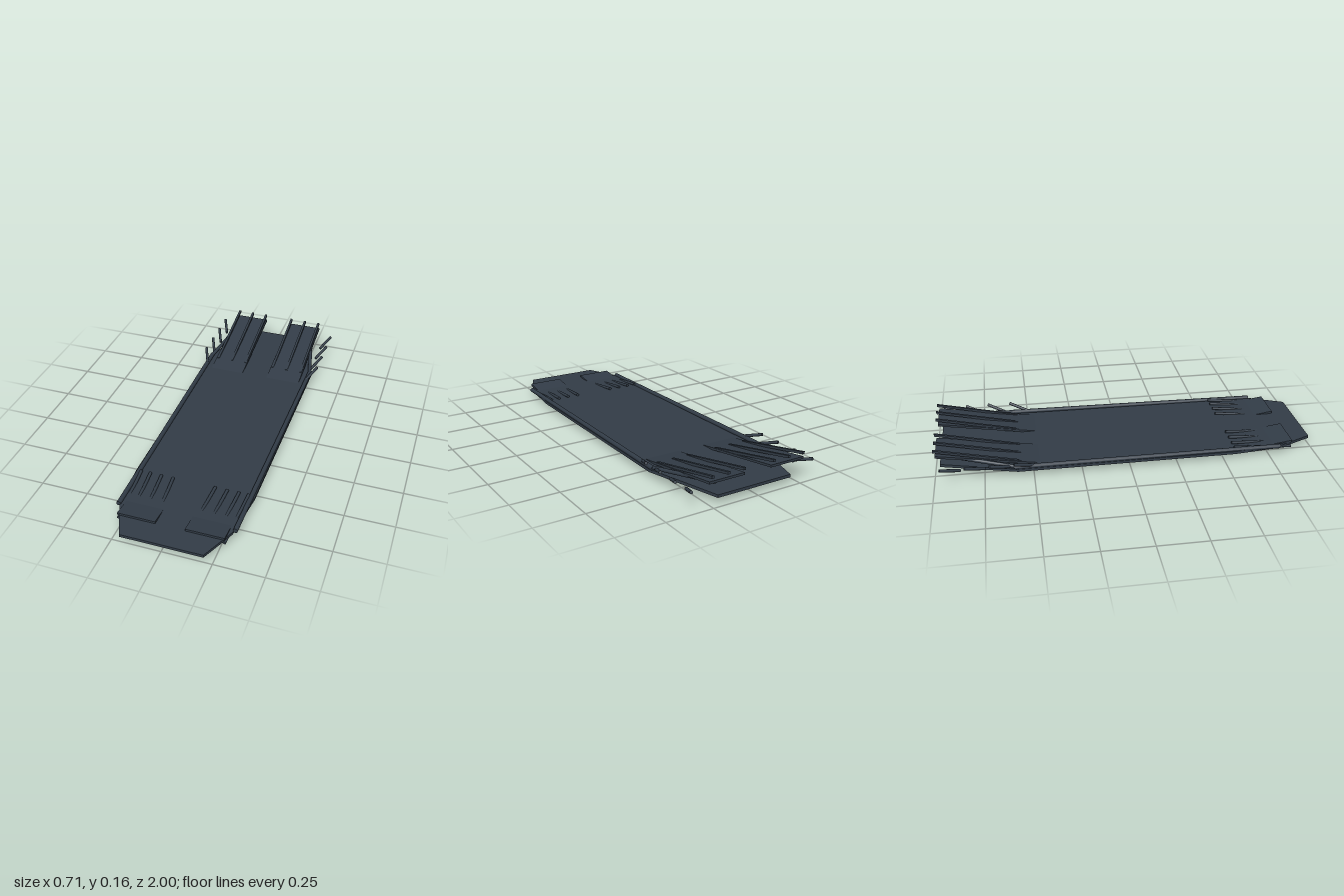
import * as THREE from 'three';

const material = new THREE.MeshStandardMaterial({ color: 0x323c47 });

export function createModel() {
  const model = new THREE.Group();

  const add = (name, geometry) => {
    const mesh = new THREE.Mesh(geometry, material);
    mesh.name = name;
    model.add(mesh);
    return mesh;
  };
  const box = (name, w, h, d, x, y, z) =>
    add(name, new THREE.BoxGeometry(w, h, d)).position.set(x, y, z);

  // round bar between two points
  const bar = (name, a, b, r) => {
    const p = new THREE.Vector3(...a), q = new THREE.Vector3(...b);
    const dir = q.clone().sub(p);
    const mesh = add(name, new THREE.CylinderGeometry(r, r, dir.length(), 12));
    mesh.position.copy(p).add(q).multiplyScalar(0.5);
    mesh.quaternion.setFromUnitVectors(new THREE.Vector3(0, 1, 0), dir.normalize());
  };

  // flat board sloping along z; y0 and y1 are heights of its top at z0 and z1
  const slope = (name, x, w, t, z0, y0, z1, y1) => {
    const s = new THREE.Shape([
      new THREE.Vector2(-z0, y0 - t), new THREE.Vector2(-z1, y1 - t),
      new THREE.Vector2(-z1, y1), new THREE.Vector2(-z0, y0),
    ]);
    const g = new THREE.ExtrudeGeometry(s, { depth: w, bevelEnabled: false });
    g.translate(0, 0, -w / 2);
    g.rotateY(Math.PI / 2);
    add(name, g).position.x = x;
  };

  // main deck plate, mirrored half outline as [x, z]
  const half = [[0.208, 1], [0.288, 0.82], [0.317, 0.56], [0.32, -0.58], [0.21, -0.975]];
  const outline = [...half, ...half.map(([x, z]) => [-x, z]).reverse()];
  const deck = new THREE.ExtrudeGeometry(
    new THREE.Shape(outline.map(([x, z]) => new THREE.Vector2(x, -z))),
    { depth: 0.015, bevelEnabled: false });
  deck.rotateX(-Math.PI / 2);
  deck.translate(0, 0.03, 0);
  add('deck', deck);

  // keel and its pads
  box('keel', 0.086, 0.016, 1.82, 0, 0.018, 0.01);
  for (const z of [0.685, 0.225, -0.23, -0.69]) box('keelPad', 0.062, 0.011, 0.16, 0, 0.0055, z);

  for (const s of [1, -1]) {
    // front and rear flaps
    slope('frontFlap', s * 0.1725, 0.195, 0.012, 0.885, 0.06, 0.64, 0.025);
    slope('rearFlap', s * 0.1725, 0.195, 0.012, -0.46, 0.044, -0.99, 0.128);

    // ribs on the rear flap
    for (const x of [0.085, 0.172, 0.259])
      slope('rearRib', s * x, 0.013, 0.013, -0.56, 0.063, -1, 0.158);

    // side rail, with its rear part bending inward and up
    bar('sideRail', [s * 0.297, 0.046, 0.81], [s * 0.31, 0.053, -0.6], 0.012);
    bar('rearRail', [s * 0.31, 0.053, -0.58], [s * 0.225, 0.11, -0.97], 0.01);

    // fingers sloping down through the front of the deck
    [[0.285, 0.267], [0.235, 0.215], [0.175, 0.155], [0.112, 0.09]].forEach(([a, b]) =>
      bar('frontFinger', [s * a, 0.054, 0.56], [s * b, 0.025, 0.88], 0.008));

    // outer spikes at the rear
    for (let i = 0; i < 4; i++) {
      const z = -0.5 - i * 0.123;
      bar('rearSpike', [s * 0.307, 0.057, z], [s * 0.35, 0.09, z - 0.1], 0.008);
    }
  }
  return model;
}
